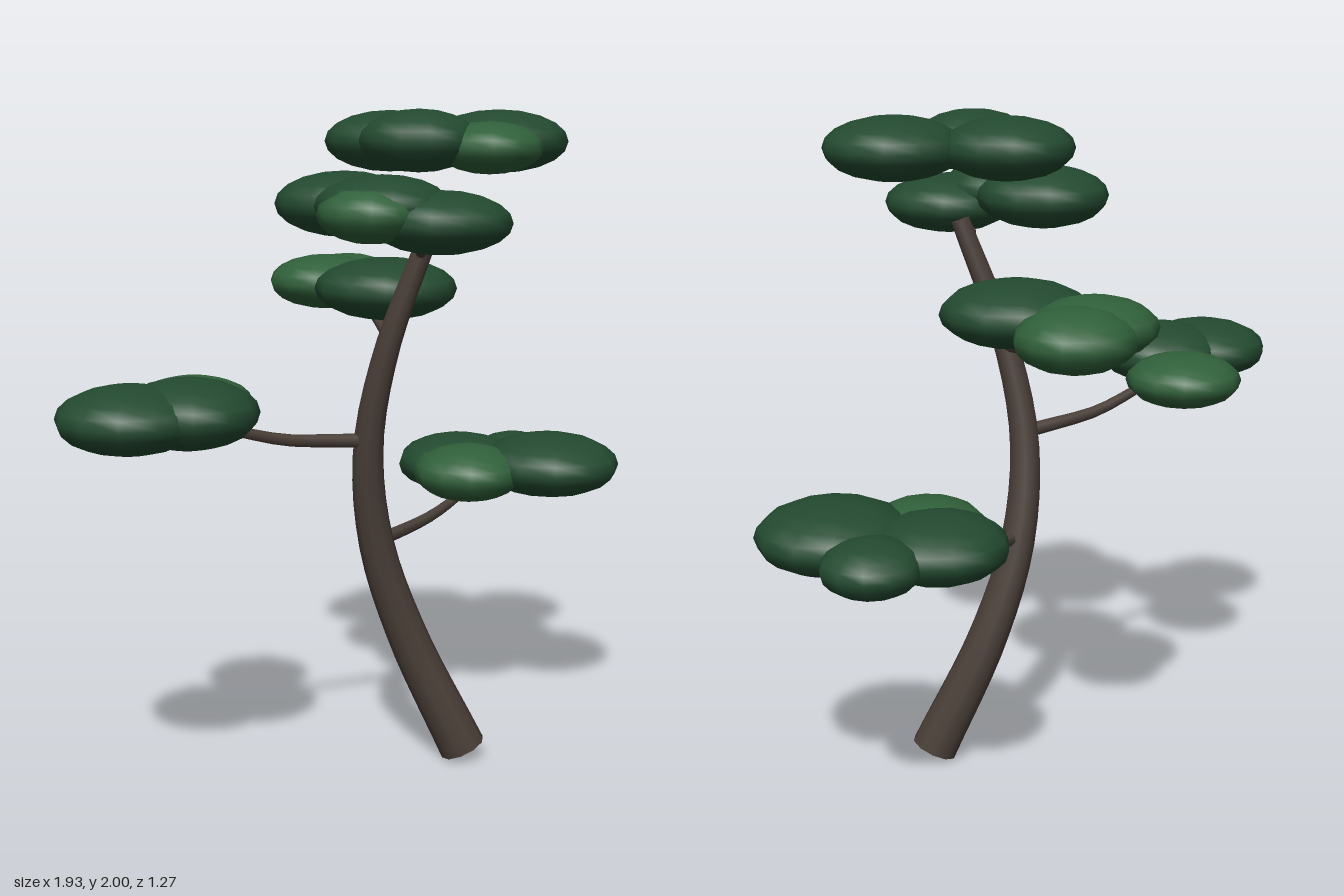
import * as THREE from 'three';

const bark = new THREE.MeshStandardMaterial({ color: 0x4a3f38 });
const darkLeaf = new THREE.MeshStandardMaterial({ color: 0x234a30 });
const lightLeaf = new THREE.MeshStandardMaterial({ color: 0x30603a });

// Tapered limb along a smooth path, closed at both ends
function limb(name, points, r0, r1, steps, sides) {
  const group = new THREE.Group();
  group.name = name;
  const curve = new THREE.CatmullRomCurve3(points.map(p => new THREE.Vector3(...p)));
  const geo = new THREE.TubeGeometry(curve, steps, 1, sides, false);
  const pos = geo.attributes.position;
  const v = new THREE.Vector3();
  for (let i = 0; i <= steps; i++) {
    const centre = curve.getPointAt(i / steps);
    const r = THREE.MathUtils.lerp(r0, r1, i / steps);
    for (let j = 0; j <= sides; j++) {
      const k = i * (sides + 1) + j;
      v.fromBufferAttribute(pos, k).sub(centre).multiplyScalar(r).add(centre);
      pos.setXYZ(k, v.x, v.y, v.z);
    }
  }
  const tube = new THREE.Mesh(geo, bark);
  tube.name = name + 'Wood';
  group.add(tube);
  for (const [t, r, dir] of [[0, r0, -1], [1, r1, 1]]) {
    const cap = new THREE.Mesh(new THREE.CircleGeometry(r, sides), bark);
    cap.name = name + 'End';
    cap.position.copy(curve.getPointAt(t));
    const out = curve.getTangentAt(t).multiplyScalar(dir);
    cap.quaternion.setFromUnitVectors(new THREE.Vector3(0, 0, 1), out);
    group.add(cap);
  }
  return group;
}

// Foliage pad: overlapping flattened blobs [x, y, z, radius, half height, light?]
const blobGeometry = new THREE.SphereGeometry(1, 12, 10);
function pad(name, blobs) {
  const group = new THREE.Group();
  group.name = name;
  blobs.forEach(([x, y, z, r, h, light], i) => {
    const blob = new THREE.Mesh(blobGeometry, light ? lightLeaf : darkLeaf);
    blob.name = name + 'Blob' + (i + 1);
    blob.position.set(x, y, z);
    blob.scale.set(r, h, r);
    blob.rotation.y = i * 0.7;
    group.add(blob);
  });
  return group;
}

export function createModel() {
  const model = new THREE.Group();
  model.name = 'tree';

  // Leaning trunk
  model.add(limb('trunk', [
    [0.32, 0.035, 0.165], [0.165, 0.4, 0.085], [0.065, 0.7, 0.064],
    [0.02, 1.0, 0.09], [0.045, 1.3, 0.15], [0.14, 1.67, 0.245],
  ], 0.072, 0.029, 24, 10));

  // Side branches
  model.add(limb('lowerBranch', [
    [0.06, 0.71, 0.064], [0.18, 0.72, 0.02], [0.32, 0.735, -0.04], [0.45, 0.765, -0.1], [0.56, 0.82, -0.13],
  ], 0.022, 0.013, 10, 7));
  model.add(limb('middleBranch', [
    [0.02, 1.03, 0.095], [-0.1, 1.04, 0.085], [-0.25, 1.055, 0.08], [-0.42, 1.1, 0.085], [-0.6, 1.16, 0.1],
  ], 0.022, 0.013, 10, 7));
  model.add(limb('backBranch', [
    [0.05, 1.31, 0.15], [0.12, 1.325, 0.03], [0.16, 1.34, -0.07], [0.19, 1.385, -0.2], [0.2, 1.43, -0.28],
  ], 0.02, 0.012, 10, 7));
  model.add(limb('upperBranch', [
    [0.12, 1.59, 0.225], [0.07, 1.61, 0.29], [0.02, 1.65, 0.36],
  ], 0.017, 0.011, 6, 7));

  // Foliage
  model.add(pad('lowerFoliage', [
    [0.74, 0.87, 0.005, 0.225, 0.1, false],
    [0.54, 0.855, -0.22, 0.2, 0.095, false],
    [0.77, 0.85, -0.24, 0.145, 0.08, false],
    [0.48, 0.855, -0.07, 0.175, 0.09, true],
  ]));
  model.add(pad('middleFoliage', [
    [-0.765, 1.175, 0.16, 0.205, 0.095, false],
    [-0.6, 1.18, 0.18, 0.2, 0.098, false],
    [-0.47, 1.155, -0.08, 0.18, 0.083, true],
  ]));
  model.add(pad('backFoliage', [
    [0.2, 1.455, -0.12, 0.22, 0.095, false],
    [0.26, 1.445, -0.47, 0.17, 0.088, true],
    [0.14, 1.455, -0.4, 0.18, 0.085, true],
  ]));
  model.add(pad('upperFoliage', [
    [-0.085, 1.735, 0.135, 0.2, 0.093, false],
    [-0.08, 1.74, 0.34, 0.19, 0.085, false],
    [0.05, 1.695, 0.435, 0.2, 0.088, false],
    [-0.14, 1.72, 0.385, 0.15, 0.08, true],
  ]));
  model.add(pad('topFoliage', [
    [0.155, 1.905, -0.02, 0.195, 0.09, false],
    [0.13, 1.91, 0.185, 0.175, 0.09, false],
    [0.41, 1.905, 0.175, 0.205, 0.092, false],
    [0.3, 1.89, 0.295, 0.155, 0.075, true],
  ]));

  return model;
}
